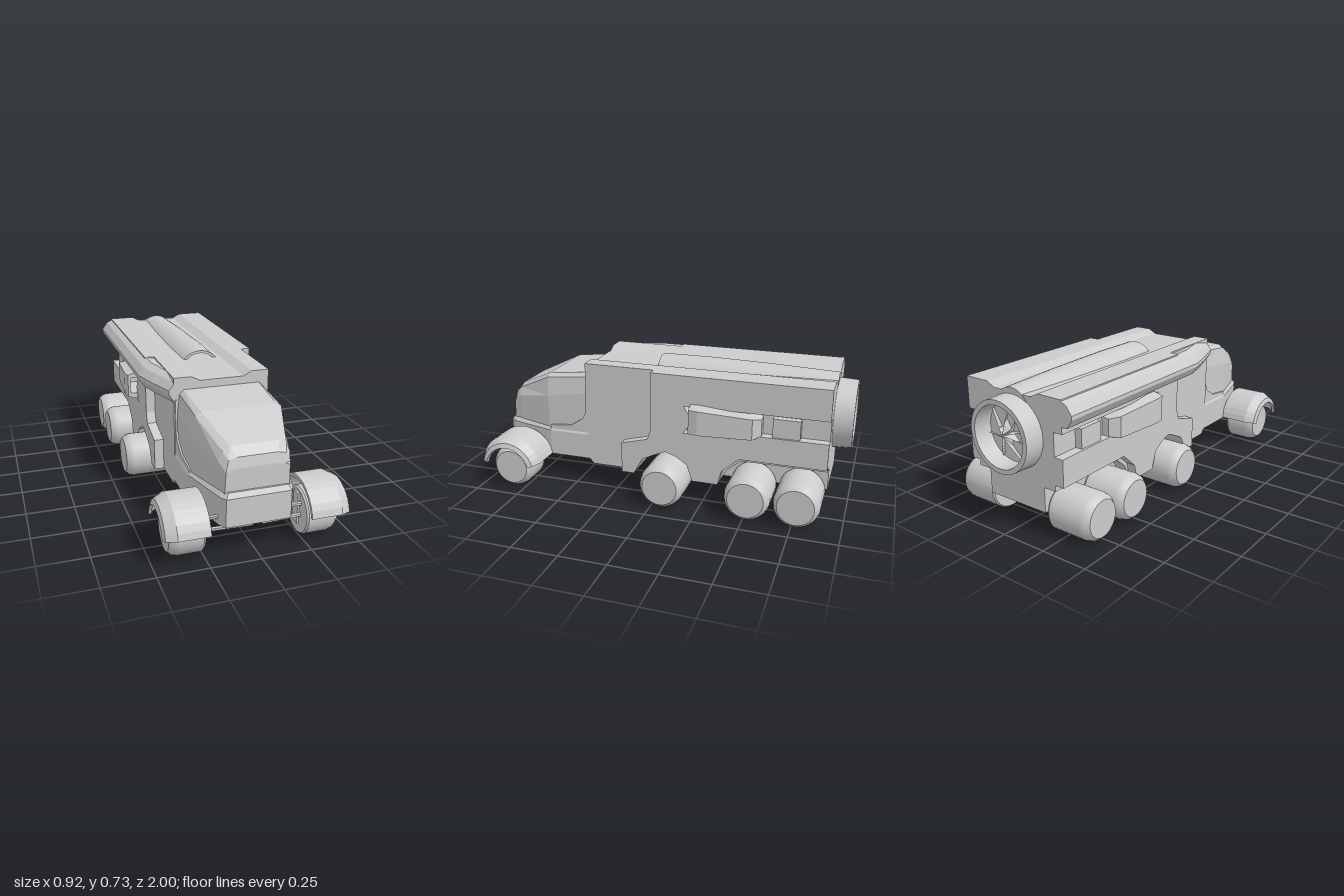
import * as THREE from 'three';
import { toCreasedNormals } from 'three/addons/utils/BufferGeometryUtils.js';

const flat = new THREE.MeshStandardMaterial({ color: 0xcccccc, flatShading: true });
const smooth = new THREE.MeshStandardMaterial({ color: 0xcccccc });

const toShape = pts => new THREE.Shape(pts.map(p => new THREE.Vector2(p[0], p[1])));

// Side outline of [z, y] points, extruded across x
function sideExtrude(pts, x0, x1) {
  const g = new THREE.ExtrudeGeometry(toShape(pts), { depth: x1 - x0, bevelEnabled: false });
  return g.rotateY(-Math.PI / 2).translate(x1, 0, 0);
}

// Front outline of [x, y] points, extruded along z
function frontExtrude(pts, z0, z1) {
  const g = new THREE.ExtrudeGeometry(toShape(pts), { depth: z1 - z0, bevelEnabled: false });
  return g.translate(0, 0, z0);
}

// Closed skin through equal-length loops of [x, y, z], capped at both ends
function loft(loops) {
  const n = loops[0].length, tris = [];
  const v = p => new THREE.Vector3(...p);
  for (let i = 0; i < loops.length - 1; i++) {
    for (let j = 0; j < n; j++) {
      const k = (j + 1) % n;
      const [a, b, c, d] = [loops[i][j], loops[i][k], loops[i + 1][k], loops[i + 1][j]];
      tris.push([a, b, c], [a, c, d]);
    }
  }
  const cap = (loop, flip) => {
    // project on the two widest axes so that any end plane triangulates
    const range = [0, 1, 2].map(q => Math.max(...loop.map(p => p[q])) - Math.min(...loop.map(p => p[q])));
    const skip = range.indexOf(Math.min(...range));
    const axes = [0, 1, 2].filter(q => q !== skip);
    const flat2 = loop.map(p => new THREE.Vector2(p[axes[0]], p[axes[1]]));
    const reversed = THREE.ShapeUtils.area(flat2) < 0;
    for (const [a, b, c] of THREE.ShapeUtils.triangulateShape(flat2, [])) {
      const t = [loop[a], loop[b], loop[c]];
      tris.push(reversed !== flip ? t.reverse() : t);
    }
  };
  cap(loops[0], true);
  cap(loops[loops.length - 1], false);
  // turn the skin outward
  const volume = tris.reduce((s, [a, b, c]) => s + v(a).dot(v(b).cross(v(c))), 0);
  if (volume < 0) tris.forEach(t => t.reverse());
  const g = new THREE.BufferGeometry();
  g.setAttribute('position', new THREE.Float32BufferAttribute(tris.flat(2), 3));
  g.computeVertexNormals();
  return g;
}

// Lathe of [radius, height] points with sharp edges kept
const turned = (pts, seg) =>
  toCreasedNormals(new THREE.LatheGeometry(pts.map(p => new THREE.Vector2(p[0], p[1])), seg), 0.5);

// Mirrored half section [x, y] into a full loop at z
const symmetric = (half, z) =>
  [...half.map(([x, y]) => [x, y, z]), ...half.slice().reverse().map(([x, y]) => [-x, y, z])];

const mirrorX = loops => loops.map(l => l.map(([x, y, z]) => [-x, y, z]));

export function createModel() {
  const model = new THREE.Group();
  const add = (name, geometry, material = flat, parent = model) => {
    const m = new THREE.Mesh(geometry, material);
    m.name = name;
    parent.add(m);
    return m;
  };

  // Body: upper hull with a roof trough, lower hull with wheel arches
  add('upperHull', frontExtrude([[-0.25, 0.3], [0.25, 0.3], [0.25, 0.713], [0.16, 0.713], [0.115, 0.69],
    [-0.115, 0.69], [-0.16, 0.713], [-0.25, 0.713]], -0.9, 0.42));
  const arch = [[0.13, 0.13], [0.08, 0.22], [0, 0.26], [-0.05, 0.28], [-0.11, 0.26], [-0.17, 0.22], [-0.2, 0.13]];
  add('lowerHull', sideExtrude([[0.42, 0.4], [0.42, 0.165], [0.39, 0.13], ...arch, [-0.34, 0.13], [-0.38, 0.2],
    [-0.45, 0.26], [-0.9, 0.26], [-0.9, 0.4]], -0.25, 0.25));
  add('rearKeel', sideExtrude([[-0.3, 0.13], [-0.9, 0.13], [-0.9, 0.35], [-0.3, 0.35]], -0.18, 0.18));

  // Side armour with the long slot, air scoops and slot boxes
  const armour = [[0.03, 0.713], [0.03, 0.4], [0.05, 0.34], [0.2, 0.3], [0.2, 0.13], ...arch, [-0.34, 0.13],
    [-0.36, 0.21], [-0.45, 0.29], [-0.9, 0.29], [-0.9, 0.43], [-0.45, 0.43], [-0.4, 0.4], [-0.15, 0.4],
    [-0.2, 0.47], [-0.15, 0.55], [-0.9, 0.55], [-0.9, 0.713]];
  const scoopLoop = (x, y0, y1, s, z) =>
    [[0.24, y0 - s, z], [x, y0, z], [x, y1, z], [0.24, y1 + s, z]];
  const scoop = [
    scoopLoop(0.29, 0.43, 0.52, 0.01, -0.56), scoopLoop(0.335, 0.42, 0.53, 0.01, -0.52),
    scoopLoop(0.36, 0.42, 0.55, 0.03, -0.24), scoopLoop(0.35, 0.42, 0.55, 0.03, -0.19),
    scoopLoop(0.335, 0.44, 0.53, 0.0, -0.19), scoopLoop(0.31, 0.45, 0.51, 0.0, -0.36)];
  for (const s of [1, -1]) {
    const side = s > 0 ? 'left' : 'right';
    add(side + 'SideArmour', sideExtrude(armour, s > 0 ? 0.24 : -0.3, s > 0 ? 0.3 : -0.24));
    add(side + 'AirScoop', loft(s > 0 ? scoop : mirrorX(scoop)));
    add(side + 'SlotBox', new THREE.BoxGeometry(0.05, 0.1, 0.14)).position.set(s * 0.263, 0.48, -0.685);
  }

  // Faceted duct along the right edge of the roof
  const duct = [[-0.22, 0.7], [-0.29, 0.712], [-0.33, 0.69], [-0.36, 0.65], [-0.36, 0.63], [-0.33, 0.585], [-0.22, 0.585]];
  add('roofSideDuct', loft([[-0.9, 0], [0.13, 0], [0.25, 0.03], [0.42, 0.085]].map(([z, inset]) =>
    duct.map(([x, y]) => [Math.min(-0.22, x + inset), y, z]))));

  // Roof intake tube with an open front
  const intake = turned([[0, -0.05], [0.085, -0.05], [0.108, 0.06], [0.122, 0.06]].reverse()
    .concat().reverse(), 32);
  const tubeProfile = [[0, -0.9], [0.105, -0.9], [0.117, -0.55], [0.123, -0.2], [0.12, 0.06], [0.106, 0.06], [0.1, -0.1], [0, -0.1]];
  intake.dispose();
  add('roofIntakeTube', turned(tubeProfile, 32).rotateX(Math.PI / 2).translate(0, 0.612, 0), smooth)
    .rotation.x = -0.004;

  // Rear turbine: open ring, hub and star of blades
  const turbine = new THREE.Group();
  turbine.name = 'rearTurbine';
  turbine.position.set(0, 0.498, 0);
  model.add(turbine);
  add('turbineRing', turned([[0.187, 0.85], [0.18, 1], [0.155, 1], [0.15, 0.905], [0, 0.905]], 32)
    .rotateX(-Math.PI / 2), smooth, turbine);
  for (let i = 0; i < 7; i++) {
    const blade = loft([[[0, 0, -0.905], [0.035, 0.06, -0.905], [0, 0.152, -0.905], [-0.035, 0.06, -0.905]],
      [[0, 0, -0.975], [0.004, 0.05, -0.955], [0, 0.145, -0.92], [-0.004, 0.05, -0.955]]]);
    add('turbineBlade', blade.rotateZ(i * Math.PI * 2 / 7), flat, turbine);
  }

  // Cab: base with tapered nose, faceted canopy and rear collar
  const baseLoop = (y, grow) => {
    const half = [[0.25, 0.36], [0.25, 0.65], [0.18, 0.91], [0.16, 0.945]];
    return [...half.map(([x, z]) => [x - grow, y, z - grow]),
      ...half.slice().reverse().map(([x, z]) => [grow - x, y, z - grow])];
  };
  add('cabBase', loft([baseLoop(0.157, 0), baseLoop(0.3, 0), baseLoop(0.325, 0.015)]));
  add('canopy', loft([
    symmetric([[0.235, 0.3], [0.235, 0.54], [0.222, 0.63], [0.2, 0.652]], 0.4),
    symmetric([[0.235, 0.3], [0.235, 0.5], [0.218, 0.605], [0.19, 0.622]], 0.66),
    symmetric([[0.175, 0.3], [0.175, 0.46], [0.155, 0.505], [0.12, 0.525]], 0.87),
    symmetric([[0.163, 0.3], [0.16, 0.43], [0.14, 0.475], [0.1, 0.485]], 0.908),
    symmetric([[0.16, 0.3], [0.155, 0.42], [0.13, 0.43], [0.1, 0.435]], 0.92)]));
  add('cabCollar', sideExtrude([[0.4, 0.3], [0.65, 0.3], [0.65, 0.33], [0.52, 0.345], [0.45, 0.39],
    [0.43, 0.43], [0.425, 0.6], [0.4, 0.6]], -0.244, 0.244));

  // Wheels and axles
  const wheelProfile = inner => [[0, inner], [0.113, inner], [0.12, inner + 0.01], [0.12, 0.375], [0.113, 0.4], [0.095, 0.42], [0, 0.42]];
  const axles = [['front', 0.82, 0.25], ['middle', -0.055, 0.18], ['rearInner', -0.515, 0.18], ['rear', -0.77, 0.18]];
  for (const [name, z, inner] of axles) {
    for (const turn of [0, Math.PI]) {
      const w = add(name + 'Wheel', turned(wheelProfile(inner), 28).rotateZ(-Math.PI / 2), smooth);
      w.position.set(0, 0.12, z);
      w.rotation.y = turn;
    }
    if (name !== 'front') {
      add(name + 'Axle', new THREE.CylinderGeometry(0.035, 0.035, 0.4, 16).rotateZ(Math.PI / 2), smooth)
        .position.set(0, 0.102, z);
    }
  }

  // Front fenders swept over the wheels, and suspension arms
  const fenderSection = [[0.245, 0.182], [0.4, 0.182], [0.45, 0.155], [0.46, 0.13], [0.445, 0.125], [0.435, 0.145], [0.395, 0.165], [0.245, 0.165]];
  const fender = [];
  for (let i = 0; i <= 14; i++) {
    const a = THREE.MathUtils.degToRad(13 + i * 11);
    fender.push(fenderSection.map(([x, r]) => [x, 0.12 + r * Math.sin(a), 0.823 + r * Math.cos(a)]));
  }
  const rod = (a, b) => {
    const from = new THREE.Vector3(...a), to = new THREE.Vector3(...b);
    return new THREE.TubeGeometry(new THREE.LineCurve3(from, to), 1, 0.011, 6);
  };
  for (const s of [1, -1]) {
    const side = s > 0 ? 'left' : 'right';
    add(side + 'Fender', loft(s > 0 ? fender : mirrorX(fender)));
    for (const z of [0.7, 0.92]) {
      const near = z > 0.82 ? 0.85 : 0.8;
      add(side + 'LowerArm', rod([s * 0.02, 0.145, z], [s * 0.27, 0.108, near]));
      add(side + 'UpperArm', rod([s * 0.16, 0.2, z - 0.02], [s * 0.27, 0.165, near]));
    }
    add(side + 'Upright', new THREE.BoxGeometry(0.02, 0.16, 0.05)).position.set(s * 0.25, 0.14, 0.823);
  }
  return model;
}
